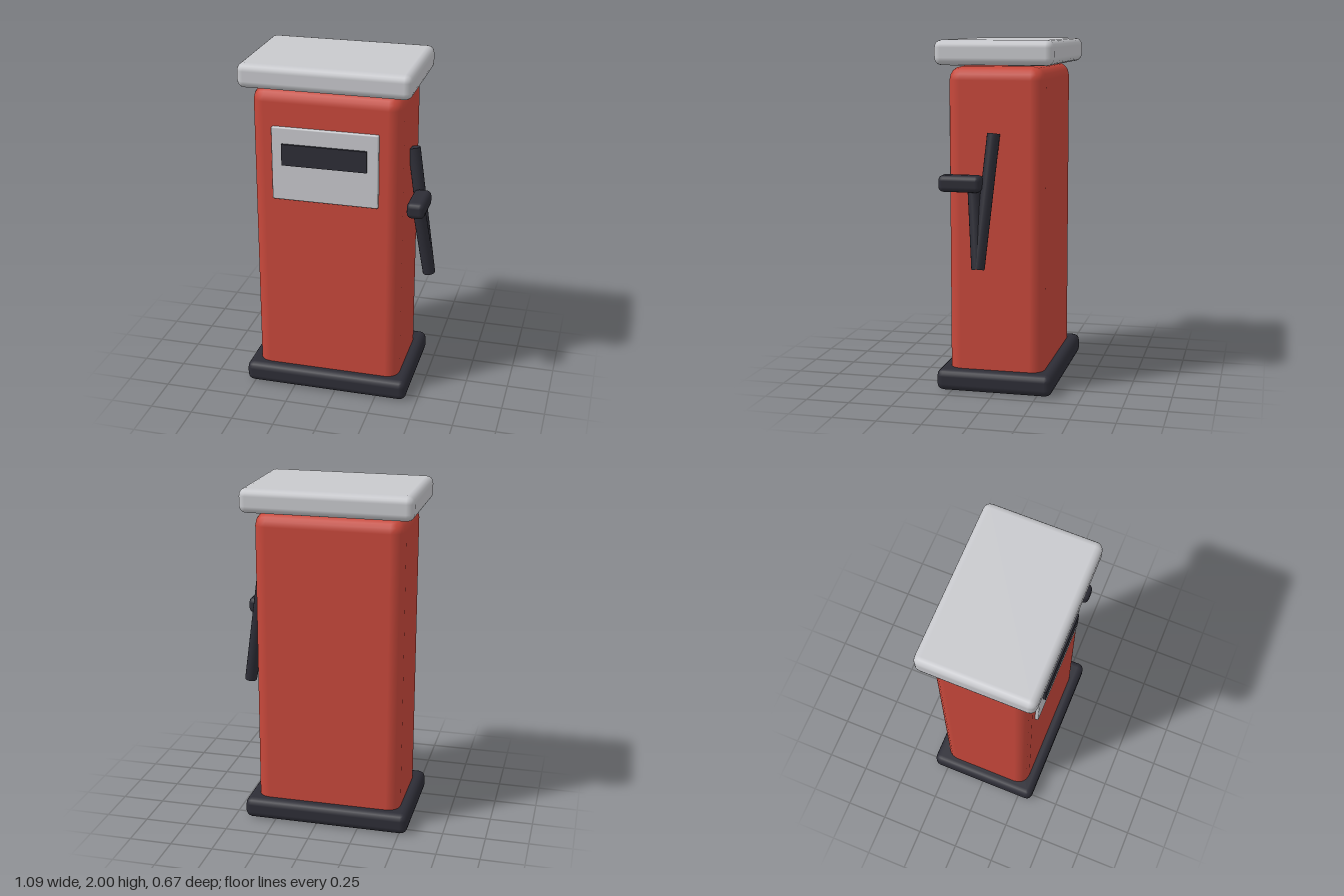
import * as THREE from 'three';
import { RoundedBoxGeometry } from 'three/addons/geometries/RoundedBoxGeometry.js';

const mat = (name, color) => {
  const m = new THREE.MeshStandardMaterial({ color });
  m.name = name;
  return m;
};

export function createModel() {
  const red = mat('red paint', 0xc8483b);
  const grey = mat('light grey', 0xc8c9cd);
  const dark = mat('dark rubber', 0x2d2d36);
  const group = new THREE.Group();
  group.name = 'fuelPump';

  const add = (name, geometry, material) => {
    const mesh = new THREE.Mesh(geometry, material);
    mesh.name = name;
    group.add(mesh);
    return mesh;
  };

  // Rounded box given by its low and high corners
  const block = (name, lo, hi, radius, material) => {
    const size = hi.map((v, i) => v - lo[i]);
    const mesh = add(name, new RoundedBoxGeometry(...size, 2, radius), material);
    mesh.position.set(...hi.map((v, i) => (v + lo[i]) / 2));
  };

  // Straight hose section between two points
  const hose = (name, from, to, radius) => {
    const a = new THREE.Vector3(...from);
    const b = new THREE.Vector3(...to);
    const dir = b.clone().sub(a);
    const mesh = add(name, new THREE.CylinderGeometry(radius, radius, dir.length(), 16), dark);
    mesh.position.copy(a).add(b).multiplyScalar(0.5);
    mesh.quaternion.setFromUnitVectors(new THREE.Vector3(0, 1, 0), dir.normalize());
  };

  // Cabinet: its underside shows through the plinth
  block('plinth', [-0.548, 0.001, -0.337], [0.435, 0.125, 0.337], 0.04, dark);
  block('body', [-0.487, 0, -0.275], [0.373, 1.853, 0.277], 0.075, red);
  block('roof', [-0.548, 1.86, -0.337], [0.435, 2, 0.337], 0.042, grey);

  // Front panel with its readout
  block('panel', [-0.365, 1.21, 0.25], [0.25, 1.642, 0.296], 0.008, grey);
  const display = add('display', new THREE.BoxGeometry(0.49, 0.124, 0.03), dark);
  display.position.set(-0.058, 1.486, 0.296);

  // Nozzle and hose on the model's left side
  block('nozzle', [0.408, 1.166, 0.05], [0.511, 1.26, 0.295], 0.03, dark);
  hose('hoseUpper', [0.39, 1.487, 0.002], [0.508, 0.742, 0.063], 0.036);
  hose('hoseLower', [0.437, 1.2, 0.104], [0.508, 0.742, 0.065], 0.036);

  return group;
}
